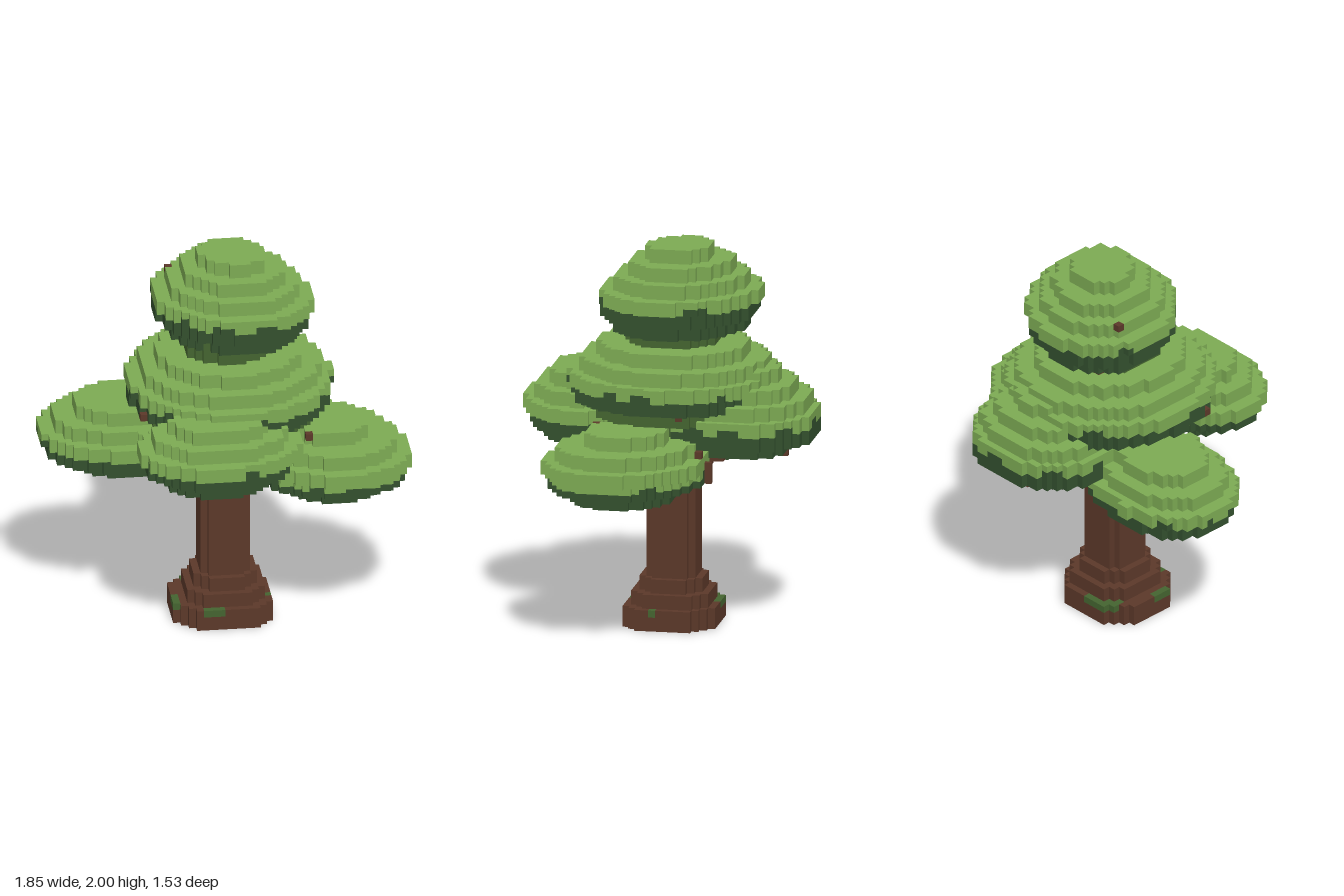
import * as THREE from 'three';

const U = 2 / 55; // voxel size; x centres on integers, y and z centres on half integers
const LEAF = 0, SHADE = 1, CORE = 2, BARK = 3;

// Face directions with their four corners, counter-clockwise from outside
const FACES = [
  [[1, 0, 0], [[1, 0, 1], [1, 0, 0], [1, 1, 0], [1, 1, 1]]],
  [[-1, 0, 0], [[0, 0, 0], [0, 0, 1], [0, 1, 1], [0, 1, 0]]],
  [[0, 1, 0], [[0, 1, 1], [1, 1, 1], [1, 1, 0], [0, 1, 0]]],
  [[0, -1, 0], [[0, 0, 0], [1, 0, 0], [1, 0, 1], [0, 0, 1]]],
  [[0, 0, 1], [[0, 0, 1], [1, 0, 1], [1, 1, 1], [0, 1, 1]]],
  [[0, 0, -1], [[1, 0, 0], [0, 0, 0], [0, 1, 0], [1, 1, 0]]],
];

// Leaf clumps: centre, radii, bottom, first light row, row the core colour ends at,
// slant and roundness of the outline, scale of each two-voxel layer
const CLUMPS = [
  { name: 'neck', x: 0.5, z: -0.7, rx: 6.4, rz: 6.5, y: 41, split: 45, core: 45, skew: 0, shear: 0, power: 2, layers: [1, 1] },
  { name: 'topCrown', x: 1.3, z: -1.8, rx: 11, rz: 10.9, y: 43, split: 47, core: 0, skew: -0.14, shear: 0, power: 2, layers: [0.82, 0.96, 1, 0.83, 0.65, 0.42] },
  { name: 'mainCrown', x: 0.8, z: -0.7, rx: 14.3, rz: 14.8, y: 29, split: 35, core: 33, skew: 0, shear: 0, power: 2, layers: [0.6, 0.83, 0.97, 1, 0.89, 0.71] },
  { name: 'frontClump', x: -2.2, z: 12.4, rx: 11.4, rz: 8.5, y: 26, split: 30, core: 0, skew: 0.04, shear: 0, power: 2, layers: [0.64, 0.89, 1, 0.82, 0.6] },
  { name: 'backClump', x: 1.9, z: -10.2, rx: 10.8, rz: 11, y: 26, split: 30, core: 0, skew: 0, shear: 0, power: 2.25, layers: [0.65, 1, 1, 0.9, 0.72, 0.5] },
  { name: 'rightClump', x: -13, z: -4.2, rx: 12.5, rz: 9.2, y: 22, split: 26, core: 0, skew: 0, shear: 0.08, power: 2.35, layers: [0.6, 0.92, 1, 0.83, 0.6] },
  { name: 'leftClump', x: 14, z: 3.7, rx: 11.5, rz: 11, y: 21, split: 24, core: 0, skew: -0.14, shear: 0, power: 2, layers: [0.64, 0.93, 1, 0.83, 0.5] },
];

// Branches from trunk to clumps
const BRANCHES = [
  [[-3, 21, 0], [-8, 23, 2]],
  [[3, 24, 0], [10, 25, 3]],
  [[0, 22, -4], [1, 26, -11]],
  [[0, 26, 2], [-2, 28, 10]],
];

// Single twig ends poking out of the leaves
const TWIGS = [
  [-7, 50, -7], [-4, 42, -8], [11, 30, 8], [12, 32, -4], [13, 27, -7],
  [11, 23, -8], [11, 24, -8], [11, 25, -8], [1, 25, -17], [7, 22, 1], [7, 23, 1], [-12, 33, 5],
];

export function createModel() {
  const group = new THREE.Group();
  const materials = [['leafGreen', 0x7caa53], ['shadeGreen', 0x33502e], ['coreGreen', 0x446430], ['barkBrown', 0x5b3829]]
    .map(([name, color]) => Object.assign(new THREE.MeshStandardMaterial({ color }), { name }));

  // Shared occupancy, so faces between touching parts are left out
  const cells = new Map();
  const key = (x, y, z) => `${x},${y},${z}`;
  const put = (part, x, y, z, mat) => {
    const k = key(x, y, z);
    if (!cells.has(k)) cells.set(k, { part, x, y, z, mat });
  };
  const ragged = (x, z) => Math.sin(x * 0.9 + z * 0.35) + Math.sin(z * 1.1 - x * 0.4) > 0.9 ? 1 : 0;

  // Twigs
  for (const [x, y, z] of TWIGS) put('twigs', x, y, z, BARK);

  // Leaf clumps: stacked ovals, light above and dark below
  for (const c of CLUMPS) {
    c.layers.forEach((s, i) => {
      for (let y = c.y + 2 * i; y < c.y + 2 * i + 2; y++)
        for (let x = -25; x <= 25; x++)
          for (let z = -21; z < 21; z++) {
            const dx = x - c.x, dz = z + 0.5 - c.z - c.shear * dx;
            const a = dx / (c.rx * s), b = dz / (c.rz * s);
            if (Math.abs(a) ** c.power + Math.abs(b) ** c.power + 2 * c.skew * a * b > 1) continue;
            const dark = y < c.split + ragged(x, z);
            put(c.name, x, y, z, !dark ? LEAF : y < c.core ? CORE : SHADE);
          }
    });
  }

  // Moss spots on the root flare
  const isMoss = (x, y, z) => y === 0
    ? (x - 1) ** 2 + z * z < 4
    : y === 2 && ((z > 2 && x >= -3 && x <= -1) || (x === -7 && z >= 0) || (x === 6 && z === 1) || (z < -3 && x > -6 && x < 0));

  // Trunk and stepped root flare
  for (let y = 0; y < 43; y++)
    for (let x = -7; x <= 6; x++)
      for (let z = -7; z < 6; z++) {
        const dx = Math.abs(x), dz = Math.abs(z + 1), sum = dx + dz;
        if (y < 3) {
          if (sum <= 10 && x - z <= 10) put('rootFlare', x, y, z, isMoss(x, y, z) ? CORE : BARK);
        } else if (y < 5) {
          if (dx <= 5 && dz <= 5 && sum <= 8) put('rootFlare', x, y, z, BARK);
        } else if (y < 7) {
          if (dx <= 4 && dz <= 4 && sum <= 6) put('rootFlare', x, y, z, BARK);
        } else if (dx * dx + dz * dz <= 13.5) put('trunk', x, y, z, BARK);
      }

  // Branches, two voxels thick
  for (const [a, b] of BRANCHES)
    for (let t = 0; t <= 1; t += 0.05) {
      const [x, y, z] = a.map((v, i) => Math.round(v + (b[i] - v) * t));
      for (let i = 0; i < 8; i++) put('branches', x + (i & 1), y + ((i >> 1) & 1), z + (i >> 2), BARK);
    }

  // One mesh per part, one geometry group per colour
  const parts = new Map();
  for (const c of cells.values()) {
    if (!parts.has(c.part)) parts.set(c.part, materials.map(() => []));
    parts.get(c.part)[c.mat].push(c);
  }
  for (const [name, byColour] of parts) {
    const position = [], normal = [];
    const geometry = new THREE.BufferGeometry();
    byColour.forEach((list, mat) => {
      const start = position.length / 3;
      for (const { x, y, z } of list)
        for (const [n, q] of FACES) {
          if (cells.has(key(x + n[0], y + n[1], z + n[2]))) continue;
          for (const i of [0, 1, 2, 0, 2, 3]) {
            position.push((x - 0.5 + q[i][0]) * U, (y + q[i][1]) * U, (z + q[i][2]) * U);
            normal.push(...n);
          }
        }
      const count = position.length / 3 - start;
      if (count) geometry.addGroup(start, count, mat);
    });
    if (!position.length) continue;
    geometry.setAttribute('position', new THREE.Float32BufferAttribute(position, 3));
    geometry.setAttribute('normal', new THREE.Float32BufferAttribute(normal, 3));
    const mesh = new THREE.Mesh(geometry, materials);
    mesh.name = name;
    group.add(mesh);
  }
  group.name = 'tree';
  return group;
}
